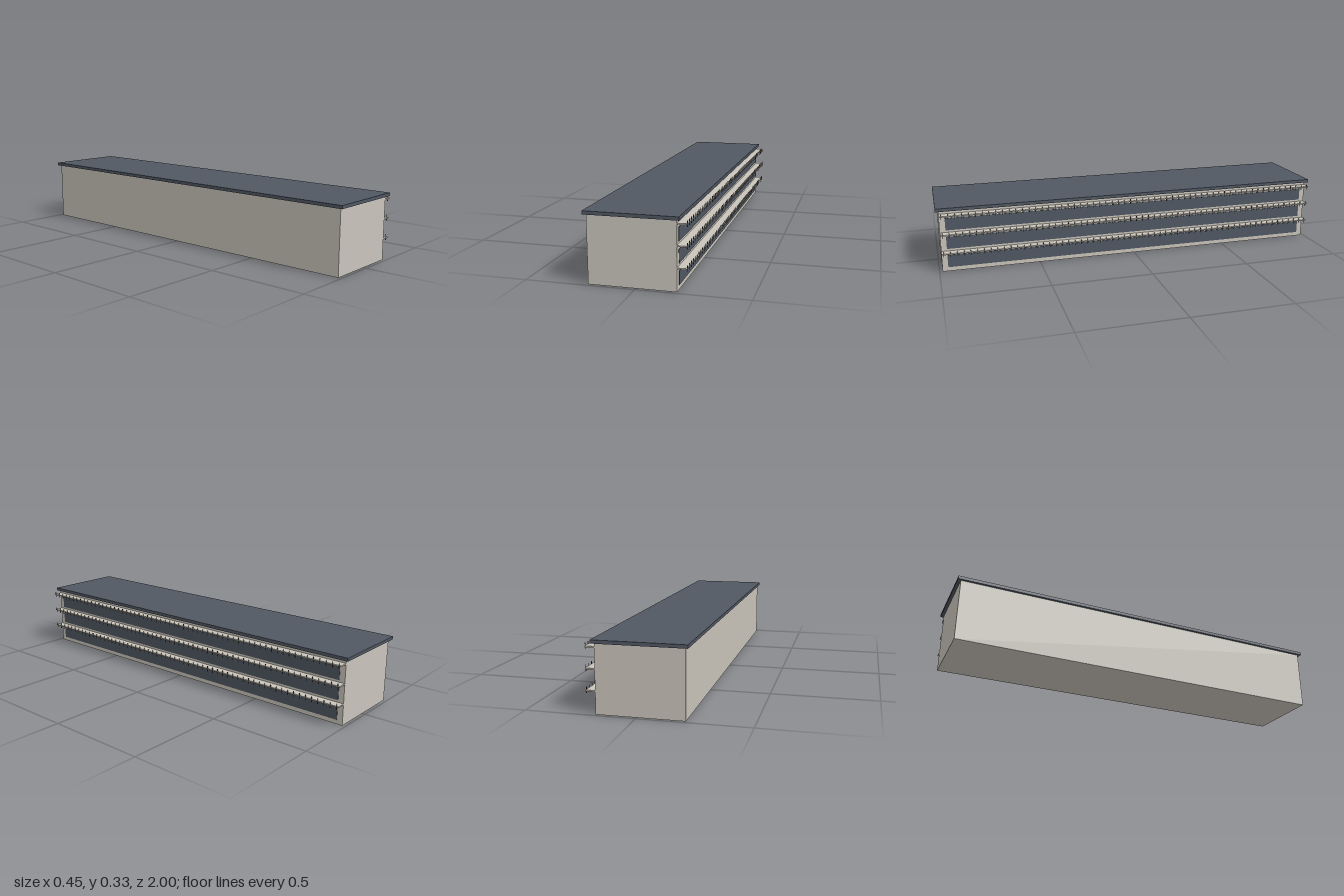
import * as THREE from 'three';
import { mergeGeometries } from 'three/addons/utils/BufferGeometryUtils.js';

const material = (name, color) => {
  const m = new THREE.MeshStandardMaterial({ color });
  m.name = name;
  return m;
};

// Box geometry from its minimum and maximum corners
function boxBetween(x0, x1, y0, y1, z0, z1) {
  return new THREE.BoxGeometry(x1 - x0, y1 - y0, z1 - z0)
    .translate((x0 + x1) / 2, (y0 + y1) / 2, (z0 + z1) / 2);
}

export function createModel() {
  const model = new THREE.Group();
  model.name = 'longBuilding';
  const wall = material('warm grey wall', 0xc9c4bb);
  const slate = material('slate', 0x505863);
  const bronze = material('dark bronze', 0x5a4c40);

  const add = (name, geometry, mat) => {
    const mesh = new THREE.Mesh(geometry, mat);
    mesh.name = name;
    model.add(mesh);
  };

  const facade = 0.181, edge = 0.2235, halfLength = 0.985;

  // Main block and overhanging flat roof
  add('walls', boxBetween(-0.214, facade, 0, 0.311, -halfLength, halfLength), wall);
  add('roof', boxBetween(-0.227, 0.194, 0.311, 0.327, -1, 1), slate);

  // Three storeys: window band, gallery slab and its row of railing posts
  const slabHeights = [0.1025, 0.1985, 0.2935];
  const postCount = 61, postHalf = 0.0012, postReach = 0.975;
  slabHeights.forEach((y, i) => {
    const sill = 0.021 + i * 0.0955;
    add(`windowBand${i + 1}`,
      boxBetween(facade - 0.001, facade + 0.002, sill, sill + 0.062, -0.957, 0.957), slate);
    add(`gallerySlab${i + 1}`,
      boxBetween(facade - 0.001, edge, y - 0.003, y + 0.003, -halfLength, halfLength), wall);

    const posts = [];
    for (let k = 0; k < postCount; k++) {
      const z = -postReach + (2 * postReach * k) / (postCount - 1);
      posts.push(boxBetween(edge - postHalf, edge + postHalf,
        y - 0.0135, y + 0.0145, z - postHalf, z + postHalf));
    }
    add(`railingPosts${i + 1}`, mergeGeometries(posts), bronze);
  });

  return model;
}
